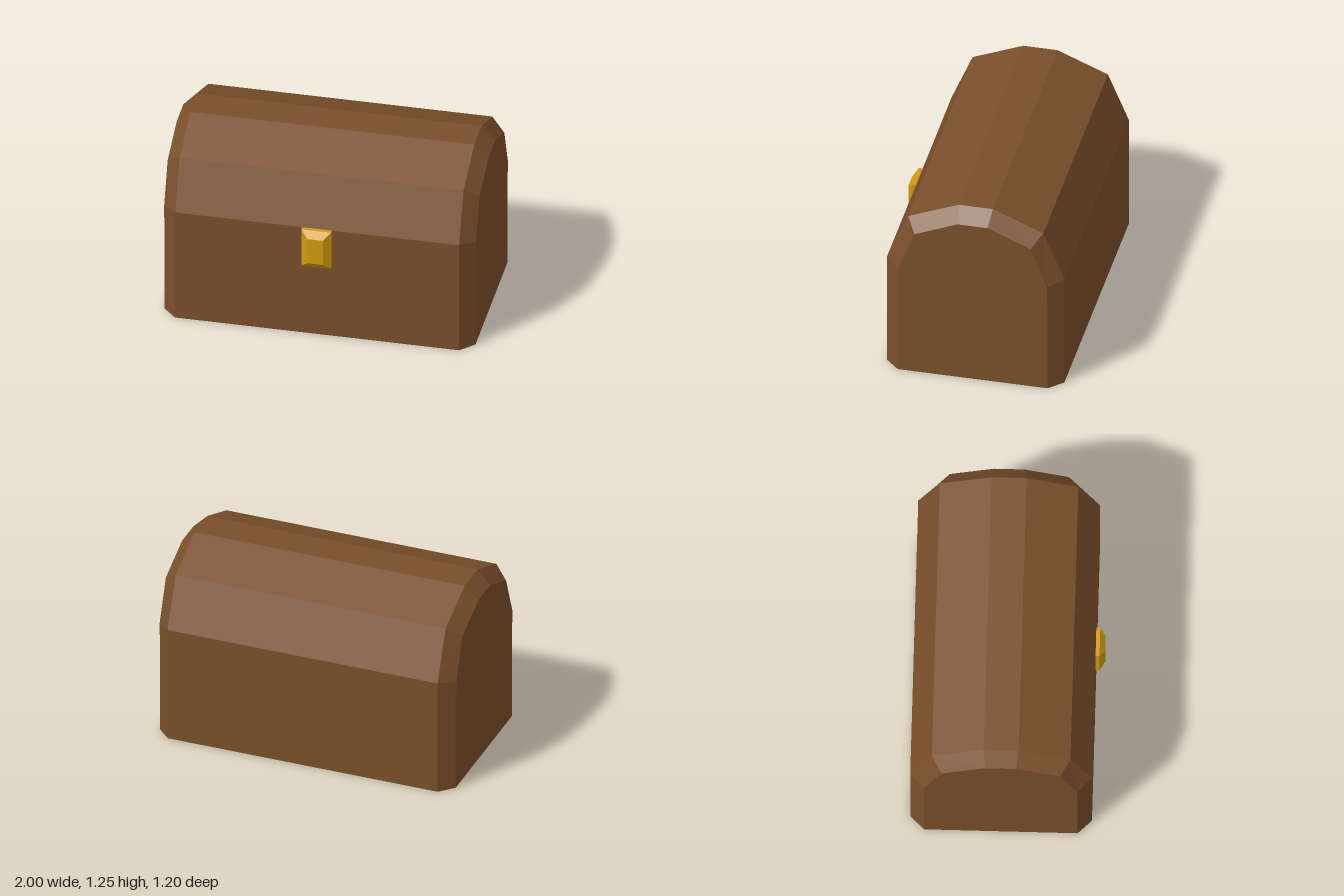
import * as THREE from 'three';

// Closed faceted solid through rings that run counter-clockwise seen from the last ring
function loft(rings) {
  const pos = [];
  const tri = (...pts) => pts.forEach((p) => pos.push(...p));
  const n = rings[0].length;
  for (let r = 0; r < rings.length - 1; r++) {
    const a = rings[r], b = rings[r + 1];
    for (let i = 0; i < n; i++) {
      const j = (i + 1) % n;
      tri(a[i], a[j], b[i]);
      tri(a[j], b[j], b[i]);
    }
  }
  const first = rings[0], last = rings[rings.length - 1];
  for (let i = 1; i < n - 1; i++) {
    tri(first[0], first[i + 1], first[i]);
    tri(last[0], last[i], last[i + 1]);
  }
  const geometry = new THREE.BufferGeometry();
  geometry.setAttribute('position', new THREE.Float32BufferAttribute(pos, 3));
  geometry.computeVertexNormals();
  return geometry;
}

// Chest section along x: full profile in the middle, smaller profile at both ends
function chestSection(outer, inner, end) {
  const ring = (x, profile) => profile.map(([z, y]) => [x, y, z]);
  return loft([ring(-end, inner), ring(-0.91, outer), ring(0.91, outer), ring(end, inner)]);
}

// Mirrors [half depth, height] points about the chest's centre line
const CENTRE_Z = -0.03;
function profile(half) {
  const back = half.map(([d, y]) => [CENTRE_Z - d, y]);
  const front = half.map(([d, y]) => [CENTRE_Z + d, y]).reverse();
  return [...back, ...front];
}

export function createModel() {
  const group = new THREE.Group();
  const wood = new THREE.MeshStandardMaterial({ color: 0x7a4f2b, flatShading: true });
  const gold = new THREE.MeshStandardMaterial({ color: 0xd19c10, flatShading: true });
  const add = (name, geometry, material) => {
    const mesh = new THREE.Mesh(geometry, material);
    mesh.name = name;
    group.add(mesh);
  };

  // Box with chamfered upright corners
  add('base', chestSection(
    profile([[0.57, 0], [0.57, 0.68]]),
    profile([[0.482, 0], [0.482, 0.68]]), 0.997), wood);

  // Faceted barrel lid with bevelled ends
  add('lid', chestSection(
    profile([[0.57, 0.68], [0.57, 0.785], [0.435, 1.11], [0.11, 1.245]]),
    profile([[0.479, 0.68], [0.479, 0.767], [0.373, 1.04], [0.097, 1.157]]), 1), wood);

  // Bevelled lock plate on the front
  const plate = (z, x, y) => [[-x, -y, z], [x, -y, z], [x, y, z], [-x, y, z]]
    .map(([px, py, pz]) => [px, py + 0.65, pz]);
  add('lock', loft([
    plate(0.53, 0.095, 0.135), plate(0.565, 0.095, 0.135), plate(0.6, 0.05, 0.09),
  ]), gold);

  return group;
}
